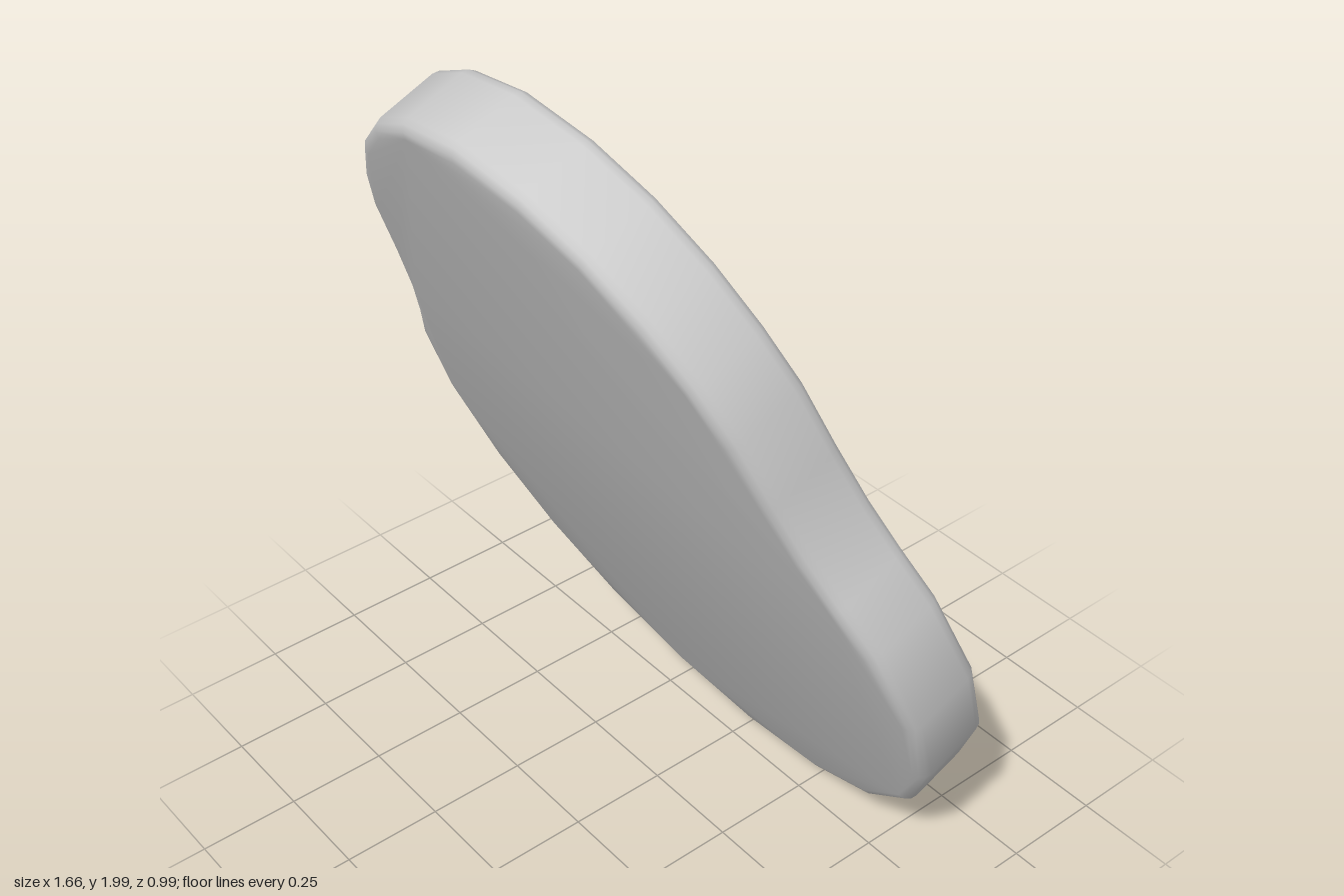
import * as THREE from 'three';
import { toCreasedNormals } from 'three/addons/utils/BufferGeometryUtils.js';

const TILT = 0.4014; // plate leans forward by 23 degrees
const HUB_Y = -0.2;  // hub centre along the plate

function addMesh(parent, name, geometry, crease) {
  const material = new THREE.MeshStandardMaterial({ color: 0xcccccc });
  const mesh = new THREE.Mesh(toCreasedNormals(geometry, crease), material);
  mesh.name = name;
  parent.add(mesh);
  return mesh;
}

// Pear-shaped plate with softly rounded rims
function plateGeometry() {
  const half = [
    [0.19, 1.02], [0.34, 0.945], [0.46, 0.835], [0.545, 0.71], [0.605, 0.58],
    [0.64, 0.41], [0.68, 0.26], [0.73, 0.14], [0.79, 0.02], [0.83, -0.22],
    [0.785, -0.475], [0.67, -0.705], [0.49, -0.89], [0.26, -1.01],
  ];
  const left = half.map(([x, y]) => new THREE.Vector2(x, y));
  const right = half.map(([x, y]) => new THREE.Vector2(-x, y)).reverse();
  const outline = [new THREE.Vector2(0, 1.053), ...left, new THREE.Vector2(0, -1.05), ...right];
  const bevel = 0.03;
  const geometry = new THREE.ExtrudeGeometry(new THREE.Shape(outline), {
    depth: 0.2 - 2 * bevel, bevelThickness: bevel, bevelSize: bevel,
    bevelOffset: -bevel, bevelSegments: 3,
  });
  return geometry.translate(0, 0, bevel - 0.1);
}

// Stepped hub: undercut flange, concave slope, raised collar and inner well
function hubGeometry() {
  const profile = [
    [0.455, 0.09], [0.455, 0.122], [0.472, 0.13], [0.477, 0.145], [0.475, 0.172],
    [0.462, 0.188], [0.44, 0.191], [0.40, 0.192], [0.36, 0.198], [0.33, 0.208],
    [0.318, 0.22], [0.318, 0.243], [0.305, 0.256], [0.235, 0.256],
    [0.232, 0.16], [0, 0.16],
  ].map(([r, h]) => new THREE.Vector2(r, h));
  return new THREE.LatheGeometry(profile, 24);
}

// Round core pierced by a keyhole whose slot points down the plate
function coreGeometry() {
  const shape = new THREE.Shape().absarc(0, 0, 0.212, 0, Math.PI * 2, false);
  const r = 0.085, w = 0.035, end = -0.18;
  const a = Math.asin(w / r);
  const keyhole = new THREE.Path();
  keyhole.moveTo(-w, end);
  keyhole.lineTo(w, end);
  keyhole.absarc(0, 0, r, -Math.PI / 2 + a, Math.PI * 1.5 - a, false);
  keyhole.lineTo(-w, end);
  shape.holes.push(keyhole);
  return new THREE.ExtrudeGeometry(shape, { depth: 0.108, bevelEnabled: false, curveSegments: 12 });
}

export function createModel() {
  const model = new THREE.Group();
  model.name = 'tiltedPlateWithHub';

  const body = new THREE.Group();
  body.name = 'tiltedBody';
  body.position.y = 1;
  body.rotation.x = TILT;
  model.add(body);

  addMesh(body, 'plate', plateGeometry(), 0.7);

  const hub = addMesh(body, 'hub', hubGeometry(), 0.8);
  hub.rotation.x = -Math.PI / 2;
  hub.position.y = HUB_Y;

  const core = addMesh(body, 'keyholeCore', coreGeometry(), 0.7);
  core.rotation.y = Math.PI;
  core.position.set(0, HUB_Y, -0.155);

  return model;
}
